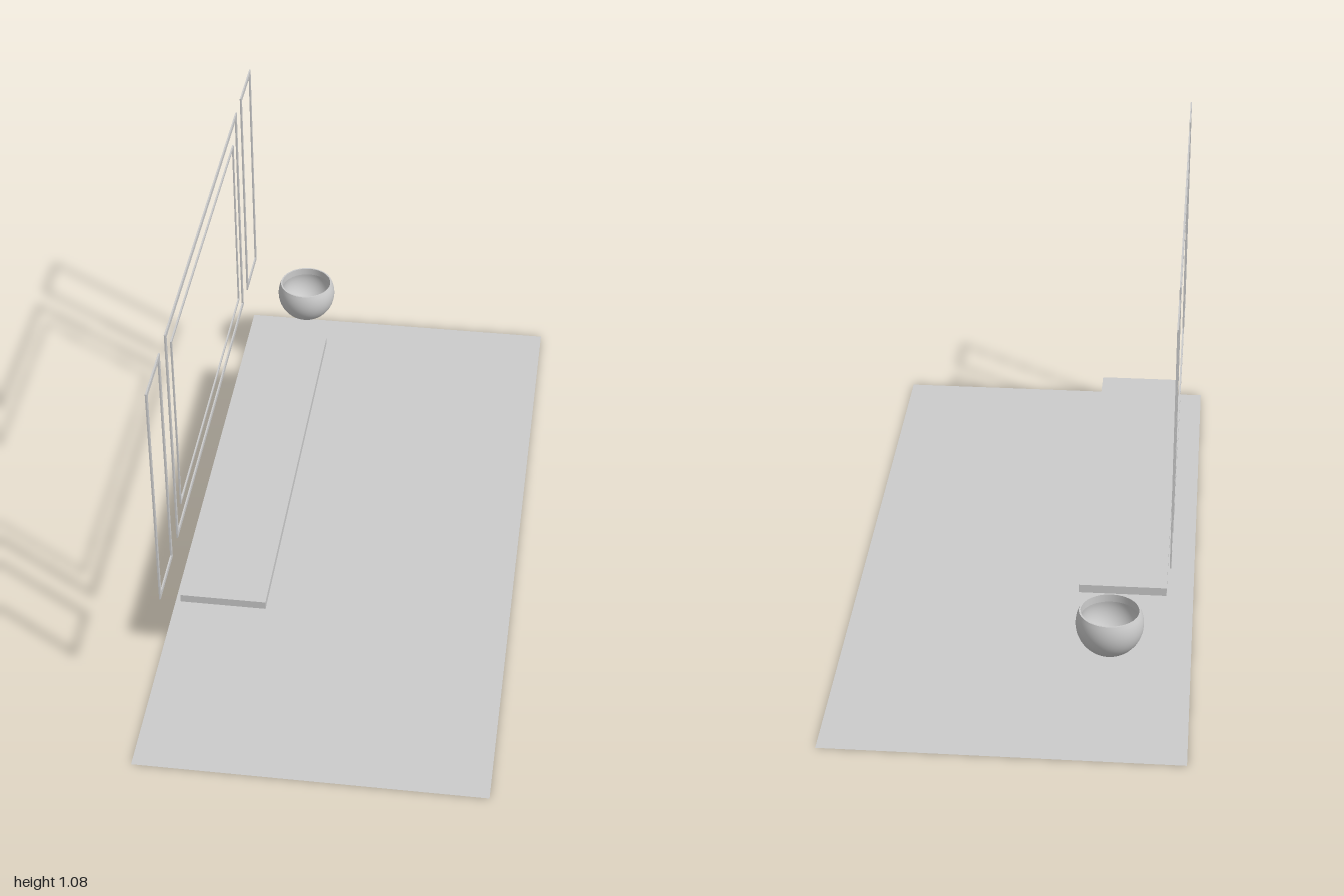
import * as THREE from 'three';

export function createModel() {
  const group = new THREE.Group();
  const material = new THREE.MeshStandardMaterial({ color: 0xcccccc, side: THREE.DoubleSide });

  const add = (name, geometry, x, y, z) => {
    const mesh = new THREE.Mesh(geometry, material);
    mesh.name = name;
    mesh.position.set(x, y, z);
    group.add(mesh);
    return mesh;
  };

  // Thin floor sheet
  const floor = add('floor', new THREE.PlaneGeometry(0.94, 2), 0, 0, 0);
  floor.rotation.x = -Math.PI / 2;

  // Long shelf below the panels
  add('shelf', new THREE.BoxGeometry(0.23, 0.023, 1.19), -0.285, 0.241, 0.018);

  // Rectangular wall mouldings, standing in the plane x = -0.41
  const rectangle = (path, z0, z1, y0, y1) => {
    path.moveTo(-z1, y0);
    path.lineTo(-z0, y0);
    path.lineTo(-z0, y1);
    path.lineTo(-z1, y1);
    path.closePath();
    return path;
  };
  const addFrame = (name, z0, z1, y0, y1, bar) => {
    const shape = rectangle(new THREE.Shape(), z0, z1, y0, y1);
    shape.holes.push(rectangle(new THREE.Path(), z0 + bar, z1 - bar, y0 + bar, y1 - bar));
    const depth = 0.004;
    const geometry = new THREE.ExtrudeGeometry(shape, { depth, bevelEnabled: false });
    add(name, geometry, -0.412, 0, 0).rotation.y = Math.PI / 2;
  };
  addFrame('frontSideMoulding', 0.637, 0.804, 0.413, 1.083, 0.014);
  addFrame('centreMoulding', -0.495, 0.565, 0.413, 1.083, 0.014);
  addFrame('innerMoulding', -0.43, 0.502, 0.478, 1.016, 0.008);
  addFrame('backSideMoulding', -0.735, -0.568, 0.413, 1.083, 0.014);

  // Round open bowl: outer wall, rim, straight inner lip, hollow inside
  const arc = (radius, height, from, to) => Array.from({ length: 21 }, (_, i) => {
    const a = THREE.MathUtils.lerp(from, to, i / 20);
    return new THREE.Vector2(Math.max(0, radius * Math.cos(a)), height * Math.sin(a));
  });
  const outer = arc(0.087, 0.087, -Math.PI / 2, 0.435);
  const inner = arc(0.076, 0.076, 0.2, -Math.PI / 2);
  const rim = [outer[20], new THREE.Vector2(inner[0].x, outer[20].y)];
  const lip = [rim[1], inner[0]];
  const bowl = new THREE.Group();
  bowl.name = 'bowl';
  bowl.position.set(-0.261, 0.27, -0.777);
  Object.entries({ bowlOutside: outer, bowlRim: rim, bowlLip: lip, bowlInside: inner })
    .forEach(([name, points]) => {
      const mesh = new THREE.Mesh(new THREE.LatheGeometry(points, 48), material);
      mesh.name = name;
      bowl.add(mesh);
    });
  group.add(bowl);

  return group;
}
